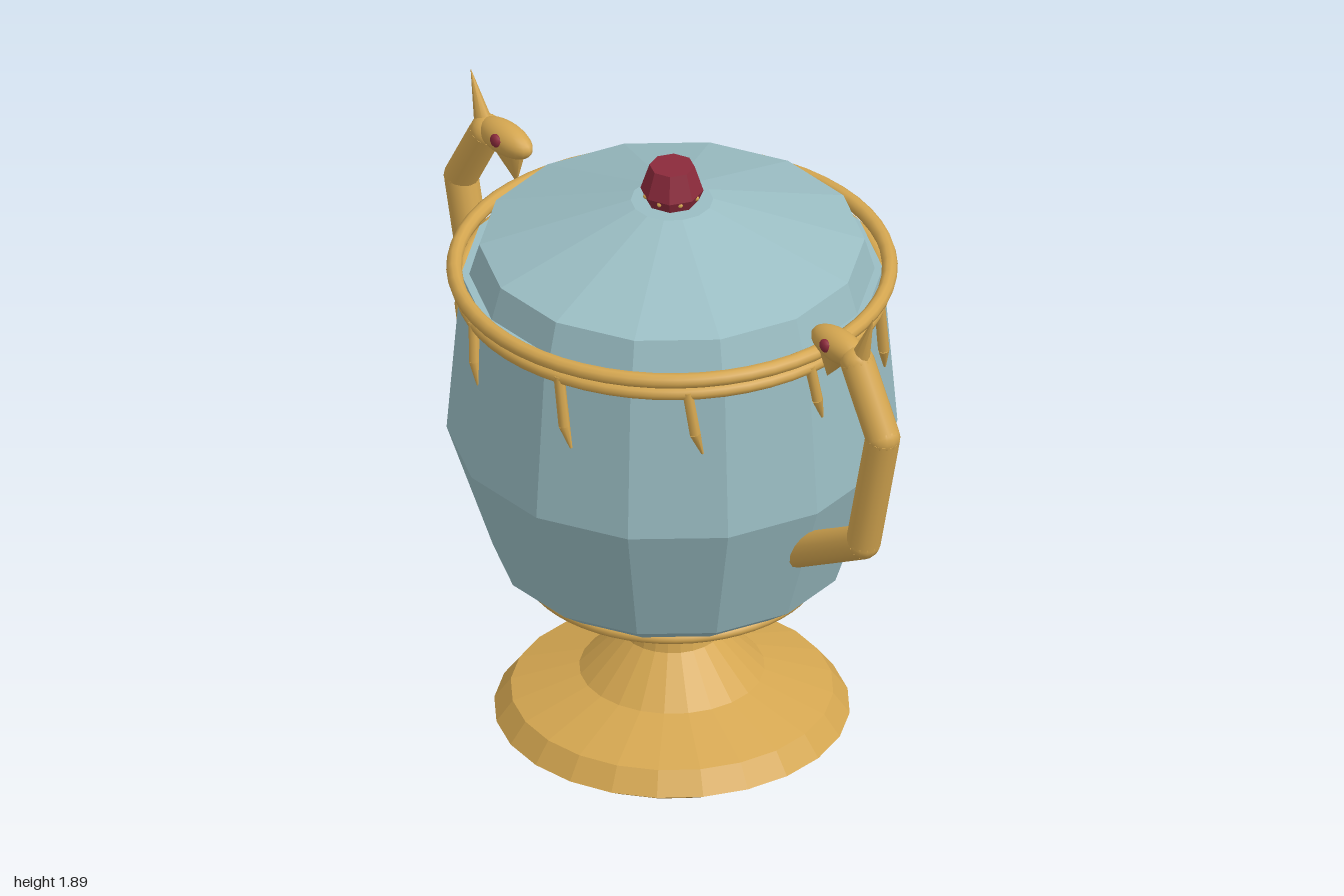
import * as THREE from 'three';

const material = (name, color) => {
  const m = new THREE.MeshStandardMaterial({ color });
  m.name = name;
  return m;
};

export function createModel() {
  const enamel = material('pale blue enamel', 0x9abdc3);
  const gold = material('gold', 0xd4a650);
  const ruby = material('ruby', 0x8b2a3b);

  const model = new THREE.Group();
  model.name = 'lidded urn';

  const add = (parent, name, geometry, mat) => {
    const mesh = new THREE.Mesh(geometry, mat);
    mesh.name = name;
    parent.add(mesh);
    return mesh;
  };

  // Faceted solid of revolution; one edge column lies on +x
  const turned = (profile, sides) => {
    const points = profile.map(([r, y]) => new THREE.Vector2(r, y));
    const g = new THREE.LatheGeometry(points, sides, Math.PI / 2).toNonIndexed();
    g.computeVertexNormals();
    return g;
  };

  // Round bar or cone between two points, squashed sideways if asked
  const UP = new THREE.Vector3(0, 1, 0);
  const bar = (parent, name, a, b, ra, rb, mat, sides = 14, squash = 1) => {
    const from = new THREE.Vector3(...a), to = new THREE.Vector3(...b);
    const dir = to.clone().sub(from);
    const mesh = add(parent, name, new THREE.CylinderGeometry(rb, ra, dir.length(), sides), mat);
    mesh.position.copy(from).add(to).multiplyScalar(0.5);
    mesh.quaternion.setFromUnitVectors(UP, dir.normalize());
    mesh.scale.z = squash;
    return mesh;
  };

  const ball = (parent, name, [x, y, z], [rx, ry, rz], mat, seg = 14) => {
    const mesh = add(parent, name, new THREE.SphereGeometry(1, seg, Math.ceil(seg * 0.7)), mat);
    mesh.position.set(x, y, z);
    mesh.scale.set(rx, ry, rz);
    return mesh;
  };

  // Foot, bowl and lid
  add(model, 'foot', turned([
    [0, 0], [0.44, 0], [0.518, 0.05], [0.47, 0.115], [0.27, 0.185],
    [0.145, 0.315], [0.12, 0.45], [0, 0.45],
  ], 24), gold);
  add(model, 'bowl', turned([
    [0, 0.44], [0.298, 0.44], [0.52, 0.605], [0.655, 1.01], [0.613, 1.53], [0.56, 1.53],
  ], 14), enamel);
  add(model, 'lid', turned([
    [0.595, 1.51], [0.56, 1.63], [0.25, 1.732], [0.12, 1.775], [0, 1.775],
  ], 14), enamel);

  // Gold bands
  for (const [name, y, r, thick] of [
    ['upperRimBand', 1.545, 0.633, 0.023],
    ['lowerRimBand', 1.493, 0.615, 0.022],
    ['lowerBand', 0.537, 0.423, 0.017],
  ]) {
    const band = add(model, name, new THREE.TorusGeometry(r, thick, 10, 56), gold);
    band.rotation.x = Math.PI / 2;
    band.position.y = y;
  }

  // Tapered drops hanging from the rim, all swept the same way
  const tips = [1.31, 1.29, 1.268, 1.31, 1.265, 1.29, 1.31, 1.265, 1.32, 1.272];
  tips.forEach((tipY, i) => {
    const at = (angle, r, y) => [r * Math.cos(angle), y, r * Math.sin(angle)];
    const a = i * Math.PI / 5;
    const top = at(a, 0.622, 1.5);
    const middle = at(a - 0.035, 0.628, tipY + 0.07);
    const drop = new THREE.Group();
    drop.name = 'rimDrop';
    model.add(drop);
    bar(drop, 'dropStem', top, middle, 0.016, 0.017, gold, 8);
    bar(drop, 'dropTip', middle, at(a - 0.07, 0.627, tipY), 0.017, 0.004, gold, 8);
  });

  // Finial gem with tiny gold beads
  add(model, 'finialGem', turned([
    [0, 1.77], [0.075, 1.77], [0.092, 1.81], [0.066, 1.89], [0, 1.89],
  ], 8), ruby);
  for (let i = 0; i < 8; i++) {
    const a = (i + 0.5) * Math.PI / 4;
    ball(model, 'finialBead', [0.08 * Math.cos(a), 1.8, 0.08 * Math.sin(a)], [0.008, 0.008, 0.008], gold, 6);
  }

  // Bent handles ending in horned animal heads
  for (const s of [1, -1]) {
    const handle = new THREE.Group();
    handle.name = s > 0 ? 'leftHandle' : 'rightHandle';
    model.add(handle);

    const path = [[0.54, 0.83], [0.862, 1.012], [0.95, 1.41], [0.835, 1.615]];
    path.forEach(([x, y], i) => {
      if (i === 0) return;
      const [px, py] = path[i - 1];
      bar(handle, 'handleBar', [s * px, py, 0], [s * x, y, 0], 0.051, 0.051, gold);
      ball(handle, 'handleJoint', [s * x, y, 0], [0.051, 0.051, 0.051], gold);
    });

    ball(handle, 'head', [s * 0.752, 1.63, 0], [0.112, 0.05, 0.049], gold, 18);
    bar(handle, 'jaw', [s * 0.728, 1.605, 0], [s * 0.7, 1.505, 0], 0.062, 0.002, gold, 10, 0.6);
    bar(handle, 'horn', [s * 0.848, 1.635, 0], [s * 0.906, 1.79, 0], 0.032, 0.001, gold, 8, 0.8);
    ball(handle, 'eye', [s * 0.742, 1.642, 0.044], [0.021, 0.021, 0.014], ruby, 10);
  }

  return model;
}
